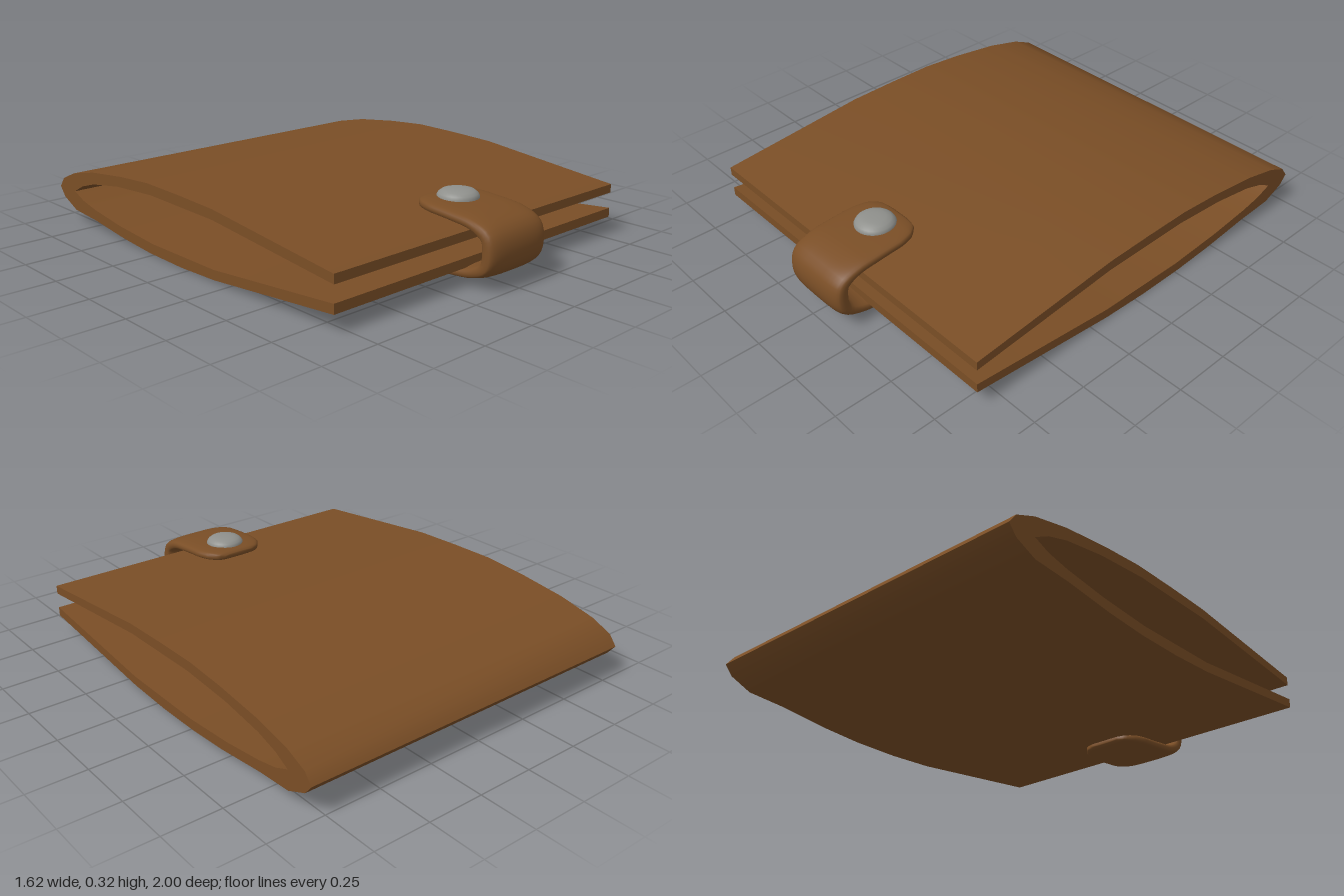
import * as THREE from 'three';
import { toCreasedNormals } from 'three/addons/utils/BufferGeometryUtils.js';

const leather = new THREE.MeshStandardMaterial({ color: 0x7a4e26 });
leather.name = 'brown leather';
const metal = new THREE.MeshStandardMaterial({ color: 0x8f908c });
metal.name = 'grey metal';

function addMesh(parent, name, geometry, material) {
  const mesh = new THREE.Mesh(geometry, material);
  mesh.name = name;
  parent.add(mesh);
  return mesh;
}

// Folded cover: one bowed side profile [z, y], extruded across the width
function coverGeometry() {
  const outer = [[0.85, 0.222], [0.17, 0.293], [-0.05, 0.3], [-0.27, 0.303], [-0.47, 0.289], [-0.7, 0.262],
    [-0.87, 0.225], [-0.965, 0.185], [-1, 0.14], [-0.965, 0.097], [-0.87, 0.055], [-0.7, 0.044],
    [-0.47, 0.017], [-0.27, 0.003], [-0.05, 0], [0.17, 0.008], [0.85, 0.075]];
  const inner = [[0.85, 0.115], [0.17, 0.05], [-0.25, 0.048], [-0.5, 0.066], [-0.7, 0.092], [-0.8, 0.113],
    [-0.87, 0.142], [-0.8, 0.179], [-0.7, 0.209], [-0.5, 0.24], [-0.25, 0.257], [0.17, 0.25], [0.85, 0.184]];
  const shape = new THREE.Shape([...outer, ...inner].map(([z, y]) => new THREE.Vector2(-z, y)));
  const geo = new THREE.ExtrudeGeometry(shape, { depth: 1.62, bevelEnabled: false });
  geo.translate(0, 0, -0.81);
  geo.rotateY(Math.PI / 2);
  return toCreasedNormals(geo, 0.6);
}

// Clasp strap: soft rounded cross-section swept around the open edge
function strapGeometry() {
  // z, y, half width, half thickness along the upper half
  const half = [[0.556, 0.268, 0.07, 0.01], [0.57, 0.27, 0.112, 0.019], [0.61, 0.271, 0.146, 0.024],
    [0.67, 0.269, 0.162, 0.025], [0.78, 0.262, 0.165, 0.026], [0.88, 0.248, 0.165, 0.028],
    [0.944, 0.213, 0.165, 0.036]];
  const rows = [...half, [0.957, 0.155, 0.165, 0.04],
    ...half.slice().reverse().map(([z, y, w, h]) => [z, 0.31 - y, w, h])];
  const path = new THREE.CatmullRomCurve3(rows.map(([z, y]) => new THREE.Vector3(0, y, z)));
  const size = new THREE.CatmullRomCurve3(rows.map(([, , w, h]) => new THREE.Vector3(w, h, 0)));
  const steps = 56, sides = 32, pos = [], index = [];
  const soften = (v) => Math.sign(v) * Math.abs(v) ** 0.6;
  for (let i = 0; i <= steps; i++) {
    const c = path.getPoint(i / steps), s = size.getPoint(i / steps), t = path.getTangent(i / steps);
    for (let j = 0; j < sides; j++) {
      const a = (j / sides) * Math.PI * 2;
      const n = soften(Math.sin(a)) * s.y;
      pos.push(soften(Math.cos(a)) * s.x, c.y + n * t.z, c.z - n * t.y);
    }
  }
  for (let i = 0; i < steps; i++) {
    for (let j = 0; j < sides; j++) {
      const k = (j + 1) % sides;
      const a = i * sides + j, b = i * sides + k, c = b + sides, d = a + sides;
      index.push(a, b, c, a, c, d);
    }
  }
  // end caps
  for (const [end, row] of [[0, 0], [1, steps]]) {
    const c = path.getPoint(end), centre = pos.length / 3;
    pos.push(c.x, c.y, c.z);
    for (let j = 0; j < sides; j++) {
      const a = row * sides + j, b = row * sides + (j + 1) % sides;
      if (end) index.push(centre, a, b);
      else index.push(centre, b, a);
    }
  }
  const geo = new THREE.BufferGeometry();
  geo.setAttribute('position', new THREE.Float32BufferAttribute(pos, 3));
  geo.setIndex(index);
  geo.computeVertexNormals();
  return geo;
}

// Low domed stud head
function studGeometry() {
  const profile = [[0.086, -0.02], [0.086, 0.004], [0.079, 0.016], [0.066, 0.026], [0.045, 0.032], [0.02, 0.034], [0, 0.034]];
  return new THREE.LatheGeometry(profile.map(([r, y]) => new THREE.Vector2(r, y)), 32);
}

export function createModel() {
  const model = new THREE.Group();
  model.name = 'foldedWallet';
  addMesh(model, 'cover', coverGeometry(), leather);

  const clasp = new THREE.Group();
  clasp.name = 'clasp';
  clasp.position.x = 0.01;
  model.add(clasp);
  addMesh(clasp, 'claspStrap', strapGeometry(), leather);
  addMesh(clasp, 'snapStud', studGeometry(), metal).position.set(0, 0.29, 0.675);
  return model;
}
